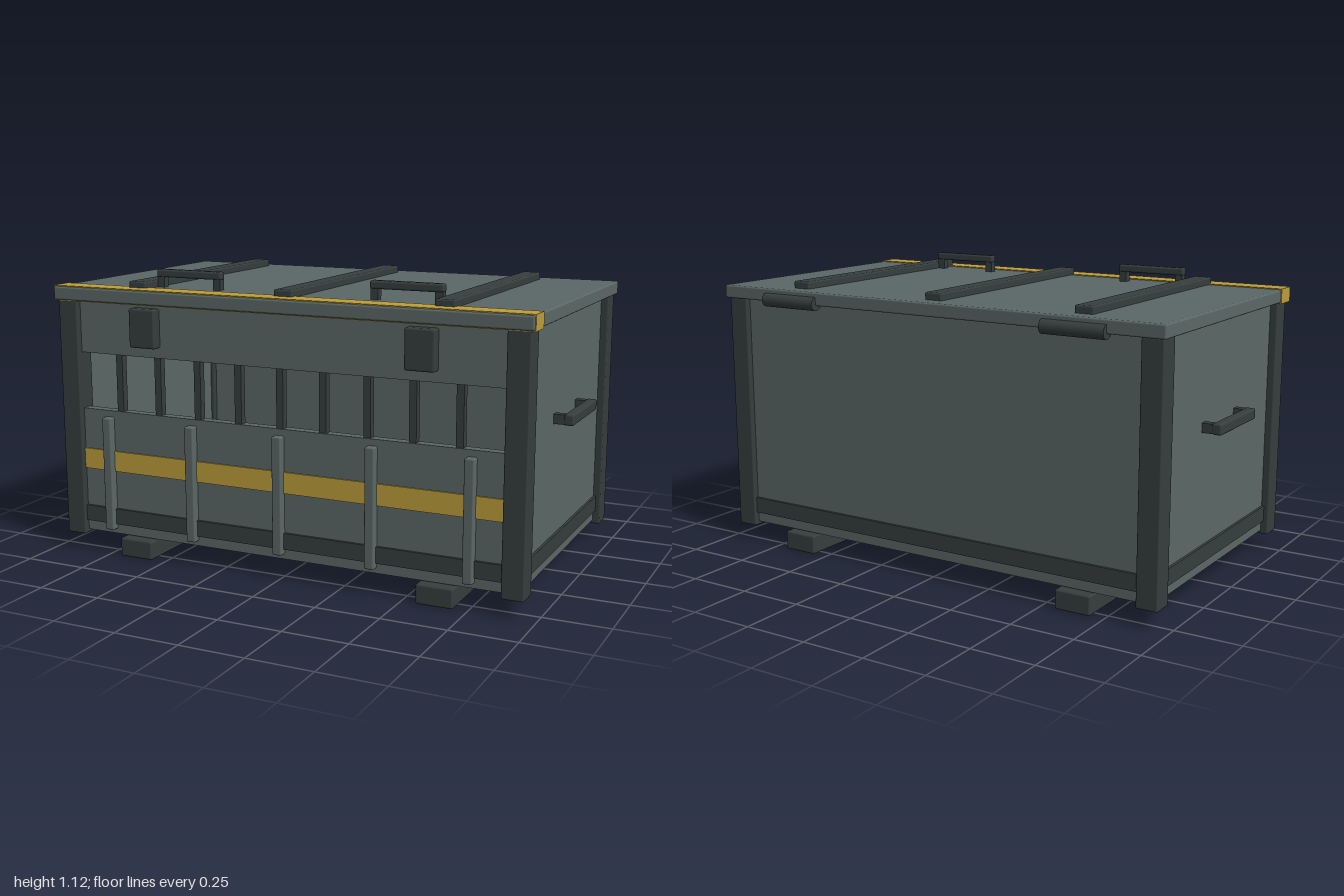
import * as THREE from 'three';
import { RoundedBoxGeometry } from 'three/addons/geometries/RoundedBoxGeometry.js';

export function createModel() {
  const model = new THREE.Group();
  model.name = 'crate';
  const material = (name, color) => {
    const m = new THREE.MeshStandardMaterial({ color });
    m.name = name;
    return m;
  };
  const panel = material('grey green panel', 0x5b6867);
  const frame = material('dark frame', 0x363e3e);
  const accent = material('yellow accent', 0xbd9f3a);

  // Box given by its extents on each axis, with an optional small bevel
  function box(name, mat, [x0, x1], [y0, y1], [z0, z1], bevel = 0, parent = model) {
    const size = [x1 - x0, y1 - y0, z1 - z0];
    const geometry = bevel
      ? new RoundedBoxGeometry(...size, 2, bevel)
      : new THREE.BoxGeometry(...size);
    const mesh = new THREE.Mesh(geometry, mat);
    mesh.name = name;
    mesh.position.set((x0 + x1) / 2, (y0 + y1) / 2, (z0 + z1) / 2);
    parent.add(mesh);
    return mesh;
  }
  const mirror = (s, a, b) => (s > 0 ? [a, b] : [-b, -a]);

  // Hollow body with an open slot across the front
  box('floor', panel, [-0.92, 0.92], [0.08, 0.19], [-0.51, 0.53]);
  box('backWall', panel, [-0.925, 0.925], [0.08, 1.005], [-0.515, -0.475]);
  box('lowerFrontPanel', panel, [-0.9, 0.9], [0.08, 0.577], [0.495, 0.535]);
  box('upperFrontPanel', panel, [-0.9, 0.9], [0.8, 1.005], [0.495, 0.535]);

  // Bottom rails, front and back
  box('frontRail', frame, [-0.88, 0.88], [0.12, 0.183], [0.5, 0.545]);
  box('backRail', frame, [-0.88, 0.88], [0.12, 0.183], [-0.525, -0.48]);

  // Side walls, side rails, skids, corner posts and side handles
  for (const s of [-1, 1]) {
    box('sideWall', panel, mirror(s, 0.885, 0.925), [0.08, 1.005], [-0.51, 0.53]);
    box('sideRail', frame, mirror(s, 0.89, 0.935), [0.12, 0.183], [-0.46, 0.48]);
    box('skid', frame, mirror(s, 0.555, 0.698), [0, 0.075], [-0.545, 0.566], 0.008);
    box('skidPad', frame, mirror(s, 0.565, 0.688), [0.07, 0.085], [-0.5, 0.52]);
    box('frontPost', frame, mirror(s, 0.87, 0.954), [0.065, 1.005], [0.474, 0.56], 0.006);
    box('backPost', frame, mirror(s, 0.87, 0.954), [0.065, 1.005], [-0.538, -0.452], 0.006);

    const handle = new THREE.Group();
    handle.name = 'sideHandle';
    model.add(handle);
    box('grip', frame, mirror(s, 0.963, 1), [0.608, 0.65], [-0.15, 0.172], 0.008, handle);
    for (const z of [-0.148, 0.138])
      box('gripLeg', frame, mirror(s, 0.92, 0.98), [0.611, 0.647], [z, z + 0.032], 0, handle);

    box('latch', frame, mirror(s, 0.507, 0.62), [0.84, 0.99], [0.53, 0.576], 0.008);

    // Hinge barrel under the back edge of the lid
    const hinge = new THREE.Mesh(new THREE.CylinderGeometry(0.027, 0.027, 0.25, 16), frame);
    hinge.name = 'hinge';
    hinge.rotation.z = Math.PI / 2;
    hinge.position.set(s * 0.625, 1.012, -0.549);
    model.add(hinge);

    // Lid handle
    const lidHandle = new THREE.Group();
    lidHandle.name = 'lidHandle';
    model.add(lidHandle);
    box('grip', frame, mirror(s, 0.307, 0.59), [1.095, 1.125], [0.385, 0.42], 0.008, lidHandle);
    for (const x of [0.31, 0.557])
      box('gripLeg', frame, mirror(s, x, x + 0.03), [1.05, 1.115], [0.388, 0.417], 0, lidHandle);
  }

  // Bars across the front slot
  for (let i = -4; i <= 4; i++) {
    const x = i * 0.175;
    box('slotBar', frame, [x - 0.014, x + 0.014], [0.57, 0.807], [0.502, 0.53]);
  }

  // Yellow stripe with upright ribs over it
  box('frontStripe', accent, [-0.87, 0.87], [0.335, 0.416], [0.533, 0.541]);
  for (let i = -2; i <= 2; i++) {
    const x = i * 0.374;
    box('frontRib', panel, [x - 0.019, x + 0.019], [0.1, 0.552], [0.525, 0.566], 0.006);
  }

  // Lid, its yellow edge band and the battens on top
  box('lid', panel, [-0.966, 0.966], [1.005, 1.056], [-0.552, 0.572], 0.007);
  box('lidBand', accent, [-0.969, 0.969], [1.002, 1.06], [0.473, 0.563]);
  for (const x of [-0.626, 0, 0.626])
    box('lidBatten', frame, [x - 0.037, x + 0.037], [1.05, 1.084], [-0.485, 0.502], 0.007);

  return model;
}
